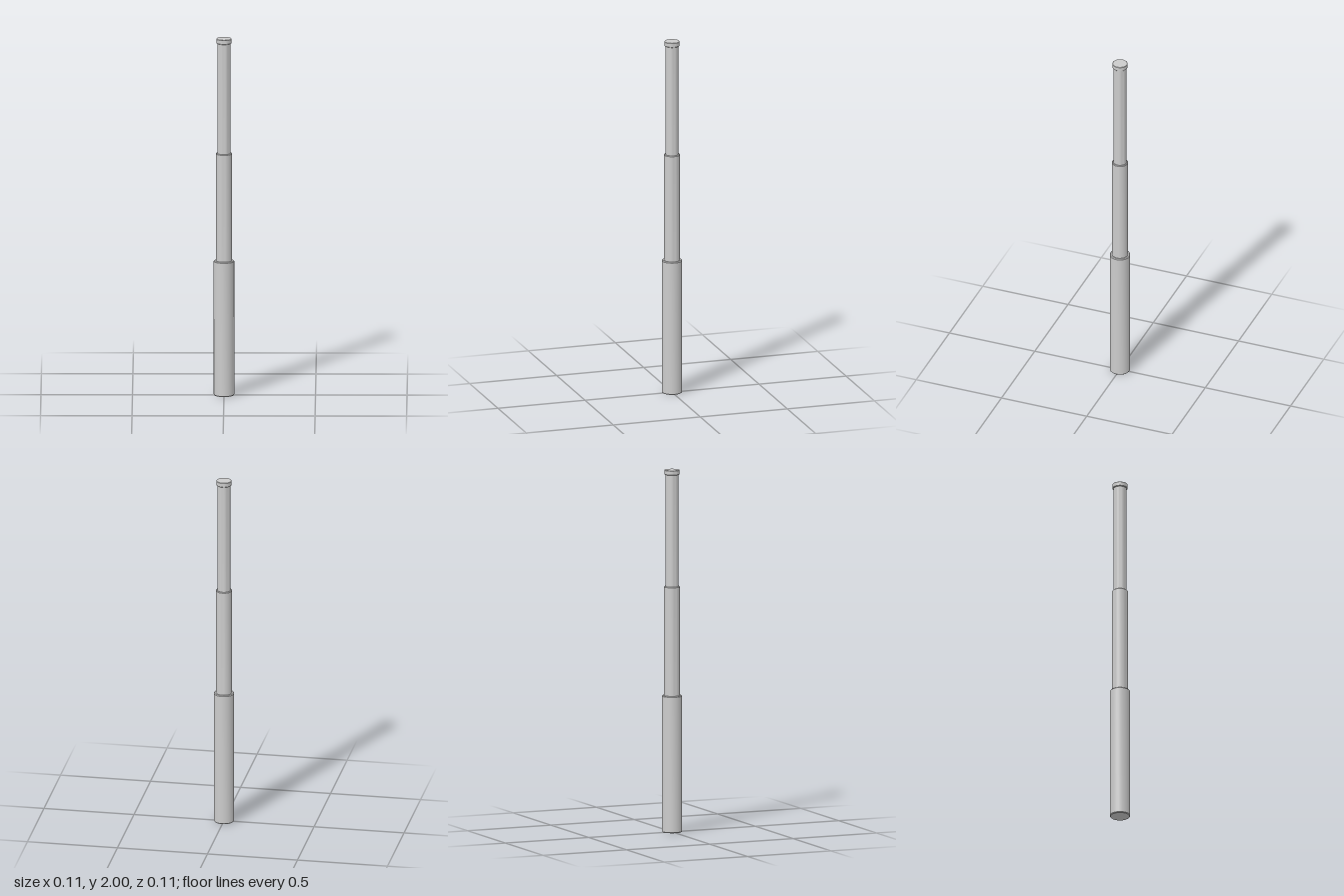
import * as THREE from 'three';
import { toCreasedNormals } from 'three/addons/utils/BufferGeometryUtils.js';

const SEGMENTS = 32;

export function createModel() {
  const group = new THREE.Group();
  const material = new THREE.MeshStandardMaterial({ color: 0xcccccc });

  // A closed round section with small chamfers at its bottom and top rims
  function addSection(name, radius, y0, y1, bottomBevel, topBevel) {
    const profile = [
      [0, y0], [radius - bottomBevel, y0], [radius, y0 + bottomBevel],
      [radius, y1 - topBevel], [radius - topBevel, y1], [0, y1],
    ].map(([x, y]) => new THREE.Vector2(x, y));
    const geometry = toCreasedNormals(new THREE.LatheGeometry(profile, SEGMENTS), Math.PI / 6);
    const mesh = new THREE.Mesh(geometry, material);
    mesh.name = name;
    group.add(mesh);
  }

  // Telescoping sections, each seated slightly inside the one below
  addSection('handle', 0.056, 0, 0.755, 0.004, 0.004);
  addSection('middleTube', 0.044, 0.74, 1.357, 0.002, 0.003);
  addSection('upperTube', 0.036, 1.34, 1.985, 0.002, 0.002);
  addSection('tipCap', 0.042, 1.974, 2, 0.003, 0.002);

  return group;
}
